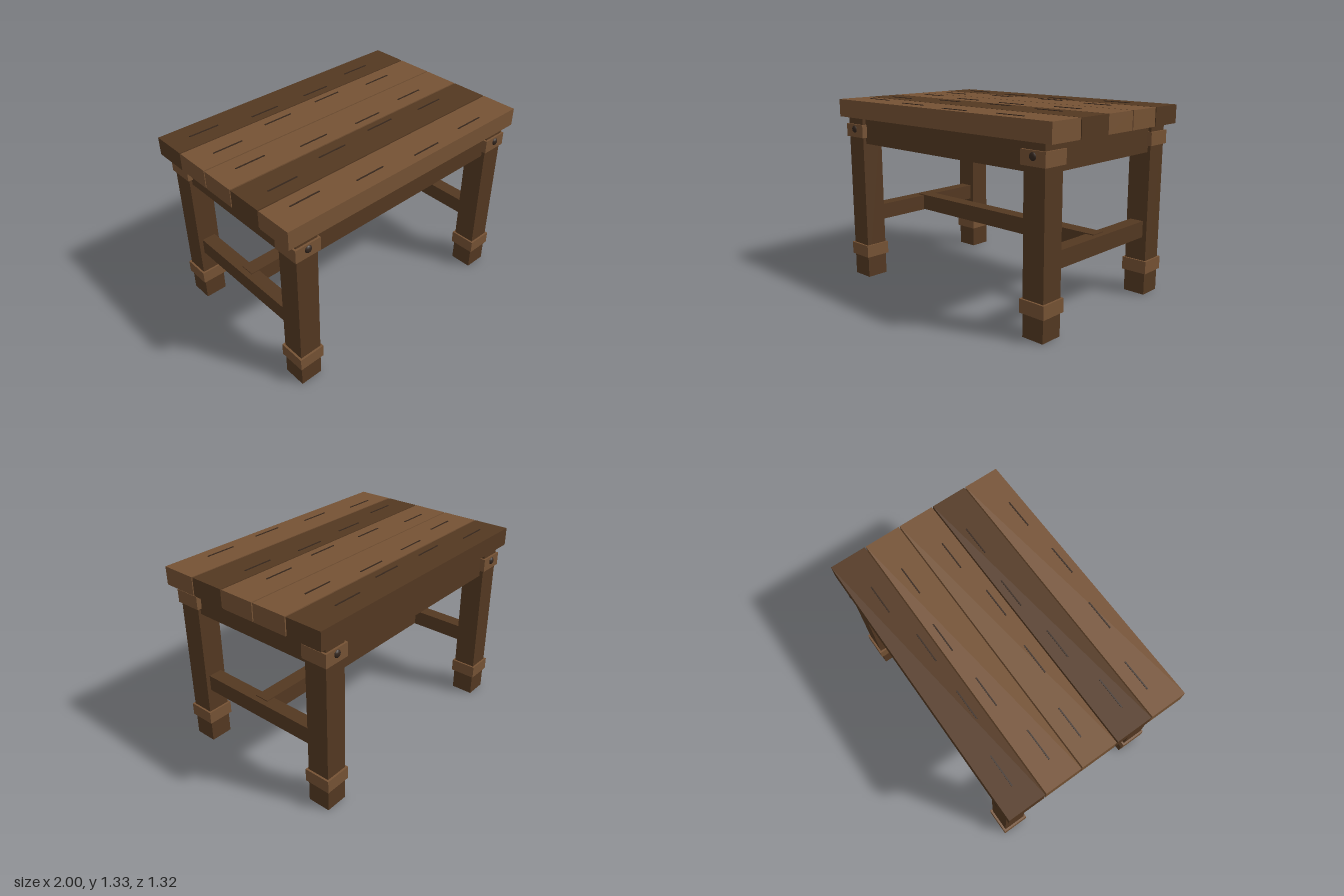
import * as THREE from 'three';

const material = (name, color) => {
  const m = new THREE.MeshStandardMaterial({ color });
  m.name = name;
  return m;
};

export function createModel() {
  const dark = material('dark wood', 0x533821);
  const light = material('light wood', 0x755234);
  const grainColor = material('grain', 0x38281d);
  const iron = material('iron', 0x33261e);

  const table = new THREE.Group();
  table.name = 'table';

  // Box given by its size, centre x and z, and bottom height
  const box = (name, mat, [w, h, d], x, bottom, z) => {
    const mesh = new THREE.Mesh(new THREE.BoxGeometry(w, h, d), mat);
    mesh.name = name;
    mesh.position.set(x, bottom + h / 2, z);
    table.add(mesh);
  };

  // Top planks from back to front, each with four grain marks
  const top = 1.324;
  const marksX = [-0.737, -0.287, 0.165, 0.615];
  const planks = [
    { mat: dark, marks: [-0.53, -0.467, -0.462, -0.522] },
    { mat: light, marks: [-0.26, -0.323, -0.34, -0.29] },
    { mat: light, marks: [-0.025, 0.045, 0.072, 0.03] },
    { mat: dark, marks: [0.29, 0.222, 0.19, 0.222] },
    { mat: light, marks: [0.49, 0.558, 0.602, 0.576] },
  ];
  planks.forEach(({ mat, marks }, i) => {
    box('plank', mat, [2, 0.126, 0.257], 0, top - 0.126, (i - 2) * 0.266);
    marks.forEach((z, k) => box('grainMark', grainColor, [0.22, 0.008, 0.009], marksX[k], top - 0.004, z));
  });

  // Legs with bands at foot and head, and a domed bolt on the outer face
  const boltShape = new THREE.SphereGeometry(0.026, 12, 8);
  for (const sx of [-1, 1]) {
    for (const sz of [-1, 1]) {
      const x = sx * 0.85, z = sz * 0.55;
      box('leg', dark, [0.16, 1.2, 0.16], x, 0, z);
      box('footBand', light, [0.188, 0.09, 0.188], x, 0.157, z);
      box('headBand', light, [0.188, 0.093, 0.188], x, 1.057, z);
      const bolt = new THREE.Mesh(boltShape, iron);
      bolt.name = 'bolt';
      bolt.scale.z = 0.55;
      bolt.position.set(x, 1.115, sz * 0.643);
      table.add(bolt);
    }
  }

  // Aprons under the top and low stretchers between the legs
  for (const s of [-1, 1]) {
    box('longApron', dark, [1.6, 0.228, 0.11], 0, 1.012, s * 0.55);
    box('sideApron', dark, [0.11, 0.228, 1], s * 0.855, 1.012, 0);
    box('sideStretcher', dark, [0.1, 0.115, 1], s * 0.85, 0.415, 0);
  }
  box('middleStretcher', dark, [1.72, 0.117, 0.104], 0, 0.419, 0);

  return table;
}
